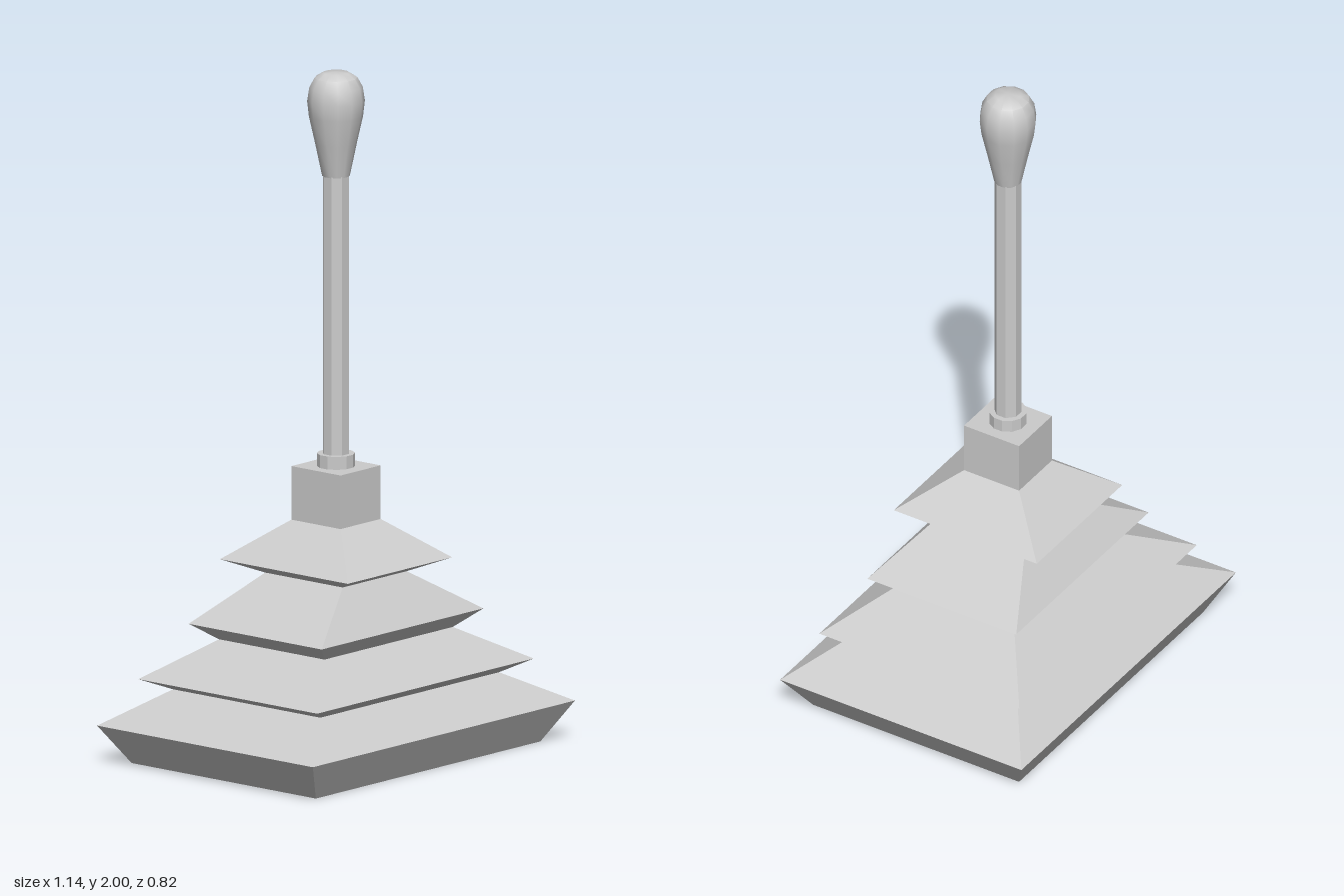
import * as THREE from 'three';
import { toCreasedNormals } from 'three/addons/utils/BufferGeometryUtils.js';

const flat = new THREE.MeshStandardMaterial({ color: 0xcccccc, flatShading: true });
const smooth = new THREE.MeshStandardMaterial({ color: 0xcccccc });

// Stack of rectangles [y, half width, half depth], joined and capped
function rectangleLoft(levels) {
  const positions = [];
  const index = [];
  for (const [y, hx, hz] of levels) {
    positions.push(-hx, y, hz, hx, y, hz, hx, y, -hz, -hx, y, -hz);
  }
  for (let i = 0; i < levels.length - 1; i++) {
    for (let j = 0; j < 4; j++) {
      const a = i * 4 + j;
      const b = i * 4 + (j + 1) % 4;
      index.push(a, b, b + 4, a, b + 4, a + 4);
    }
  }
  const t = (levels.length - 1) * 4;
  index.push(0, 2, 1, 0, 3, 2, t, t + 1, t + 2, t, t + 2, t + 3);
  const geometry = new THREE.BufferGeometry();
  geometry.setAttribute('position', new THREE.Float32BufferAttribute(positions, 3));
  geometry.setIndex(index);
  const faceted = geometry.toNonIndexed();
  faceted.computeVertexNormals();
  return faceted;
}

export function createModel() {
  const group = new THREE.Group();
  const add = (name, geometry, material = flat, y = 0) => {
    const mesh = new THREE.Mesh(geometry, material);
    mesh.name = name;
    mesh.position.y = y;
    group.add(mesh);
    return mesh;
  };

  // Pleated rectangular boot
  add('bellowsBoot', rectangleLoft([
    [0, 0.49, 0.35], [0.115, 0.572, 0.41],
    [0.21, 0.39, 0.28], [0.245, 0.473, 0.34],
    [0.35, 0.28, 0.2], [0.4, 0.353, 0.253],
    [0.53, 0.14, 0.147], [0.57, 0.228, 0.243],
    [0.685, 0.087, 0.093],
  ]));

  // Square collar on top of the boot
  add('collar', new THREE.BoxGeometry(0.175, 0.16, 0.187), flat, 0.762);

  // Round ring and lever shaft, flat side to the front
  const cylinder = (r, h, sides) =>
    new THREE.CylinderGeometry(r, r, h, sides).rotateY(Math.PI / sides);
  add('shaftRing', cylinder(0.055, 0.04, 12), flat, 0.86);
  add('shaft', cylinder(0.04, 0.86, 8), flat, 1.268);

  // Rounded knob that widens towards the top
  const profile = [
    [0, 1.695], [0.04, 1.695], [0.06, 1.79], [0.078, 1.87], [0.083, 1.915],
    [0.077, 1.955], [0.062, 1.983], [0.038, 1.998], [0, 2],
  ].map(([r, y]) => new THREE.Vector2(r, y));
  const knob = new THREE.LatheGeometry(profile, 12).rotateY(Math.PI / 12);
  add('knob', toCreasedNormals(knob, 0.6), smooth);

  return group;
}
